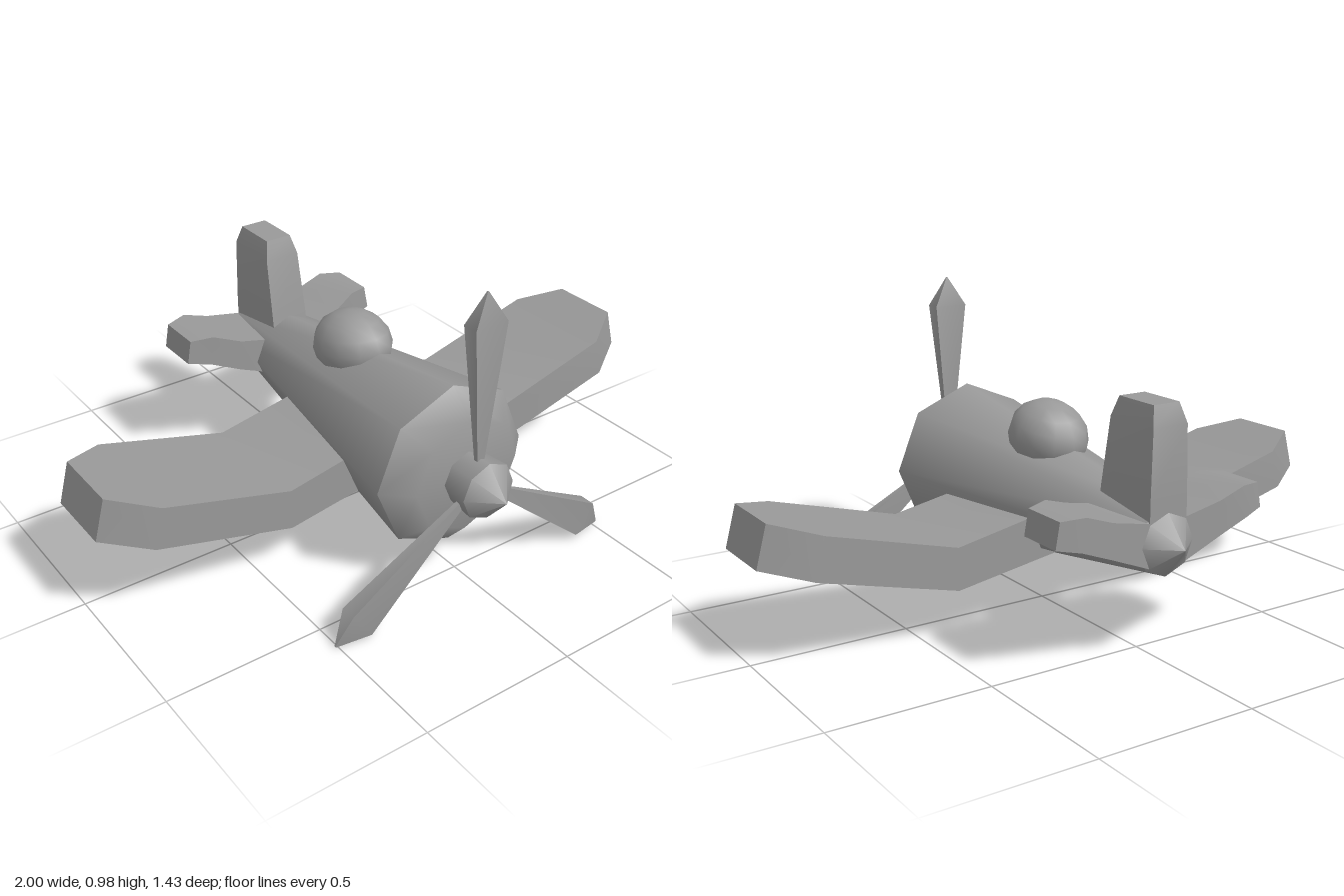
import * as THREE from 'three';
import { mergeGeometries, toCreasedNormals } from 'three/addons/utils/BufferGeometryUtils.js';

const AXIS_Y = 0.361;
const CREASE = 0.8;
const material = new THREE.MeshStandardMaterial({ color: 0x999999 });

function part(name, geometry) {
  const mesh = new THREE.Mesh(geometry, material);
  mesh.name = name;
  return mesh;
}

// Creased skin through rings of points, closed at both ends.
function loft(rings) {
  const pos = [];
  const tri = (...points) => points.forEach((p) => pos.push(...p));
  const n = rings[0].length;
  for (let k = 0; k < rings.length - 1; k++) {
    for (let i = 0; i < n; i++) {
      const j = (i + 1) % n;
      tri(rings[k][i], rings[k][j], rings[k + 1][j]);
      tri(rings[k][i], rings[k + 1][j], rings[k + 1][i]);
    }
  }
  const first = rings[0], last = rings[rings.length - 1];
  for (let i = 1; i < n - 1; i++) {
    tri(last[0], last[i], last[i + 1]);
    tri(first[0], first[i + 1], first[i]);
  }
  const geometry = new THREE.BufferGeometry();
  geometry.setAttribute('position', new THREE.Float32BufferAttribute(pos, 3));
  return toCreasedNormals(geometry, CREASE);
}

// Eight-sided body along z, smooth around, with a crease between strips.
// Each strip is a list of [radius, z] from back to front.
function turned(...strips) {
  const geometry = mergeGeometries(strips.map((strip) =>
    new THREE.LatheGeometry(strip.map(([r, z]) => new THREE.Vector2(r, z)), 8)));
  geometry.rotateX(Math.PI / 2);
  geometry.translate(0, AXIS_Y, 0);
  return geometry;
}

// Wing for one side; stations are [xTop, yTop, xBottom, yBottom, zFront, zBack].
function wing(stations, side) {
  return loft(stations.map(([xt, yt, xb, yb, zf, zb]) => {
    const ring = [[side * xb, yb, zb], [side * xt, yt, zb], [side * xt, yt, zf], [side * xb, yb, zf]];
    return side > 0 ? ring : ring.reverse();
  }));
}

export function createModel() {
  const model = new THREE.Group();
  model.name = 'propellerPlane';

  // Tapered fuselage with blunt nose and pointed tail
  model.add(part('fuselage', turned(
    [[0, -0.712], [0.1, -0.627]],
    [[0.1, -0.627], [0.27, 0.463]],
    [[0.27, 0.463], [0.186, 0.54], [0, 0.541]],
  )));

  // Canopy bubble, tilted along the back
  const canopy = part('canopy', new THREE.SphereGeometry(1, 12, 8));
  canopy.scale.set(0.12, 0.115, 0.146);
  canopy.rotation.x = -0.17;
  canopy.position.set(0, 0.55, -0.035);
  model.add(canopy);

  // Cranked wings and tailplanes with clipped tips
  const wingStations = [
    [0.05, 0.365, 0.05, 0.22, 0.225, -0.175],
    [0.41, 0.296, 0.41, 0.162, 0.225, -0.175],
    [0.83, 0.409, 0.86, 0.279, 0.225, -0.175],
    [0.965, 0.446, 1, 0.316, 0.14, -0.09],
  ];
  const tailStations = [
    [0.04, 0.425, 0.04, 0.288, -0.395, -0.635],
    [0.19, 0.455, 0.2, 0.352, -0.405, -0.635],
    [0.28, 0.486, 0.294, 0.388, -0.435, -0.635],
    [0.352, 0.48, 0.366, 0.402, -0.46, -0.613],
  ];
  for (const [label, side] of [['left', 1], ['right', -1]]) {
    model.add(part(label + 'Wing', wing(wingStations, side)));
    model.add(part(label + 'Tailplane', wing(tailStations, side)));
  }

  // Tail fin: [y, half width, zFront, zBack]
  const finStations = [
    [0.38, 0.065, -0.39, -0.635],
    [0.49, 0.065, -0.405, -0.635],
    [0.7, 0.06, -0.44, -0.635],
    [0.76, 0.045, -0.46, -0.615],
  ];
  model.add(part('tailFin', loft(finStations.map(([y, w, zf, zb]) =>
    [[-w, y, zb], [-w, y, zf], [w, y, zf], [w, y, zb]]))));

  // Propeller: hub with spinner and three box-section blades with pointed tips
  const propeller = new THREE.Group();
  propeller.name = 'propeller';
  propeller.add(part('spinner', turned(
    [[0.084, 0.53], [0.093, 0.635]],
    [[0.093, 0.635], [0, 0.716]],
  )));
  const bladeStations = [[0.03, 0.008, 0.005], [0.525, 0.057, 0.026], [0.62, 0.002, 0.002]];
  const bladeGeometry = loft(bladeStations.map(([y, w, d]) =>
    [[-w, y, -d], [-w, y, d], [w, y, d], [w, y, -d]]));
  for (const degrees of [0, 125, -124.2]) {
    const blade = part('blade', bladeGeometry);
    blade.position.set(0, AXIS_Y, 0.589);
    blade.rotation.z = THREE.MathUtils.degToRad(degrees);
    propeller.add(blade);
  }
  model.add(propeller);

  return model;
}
